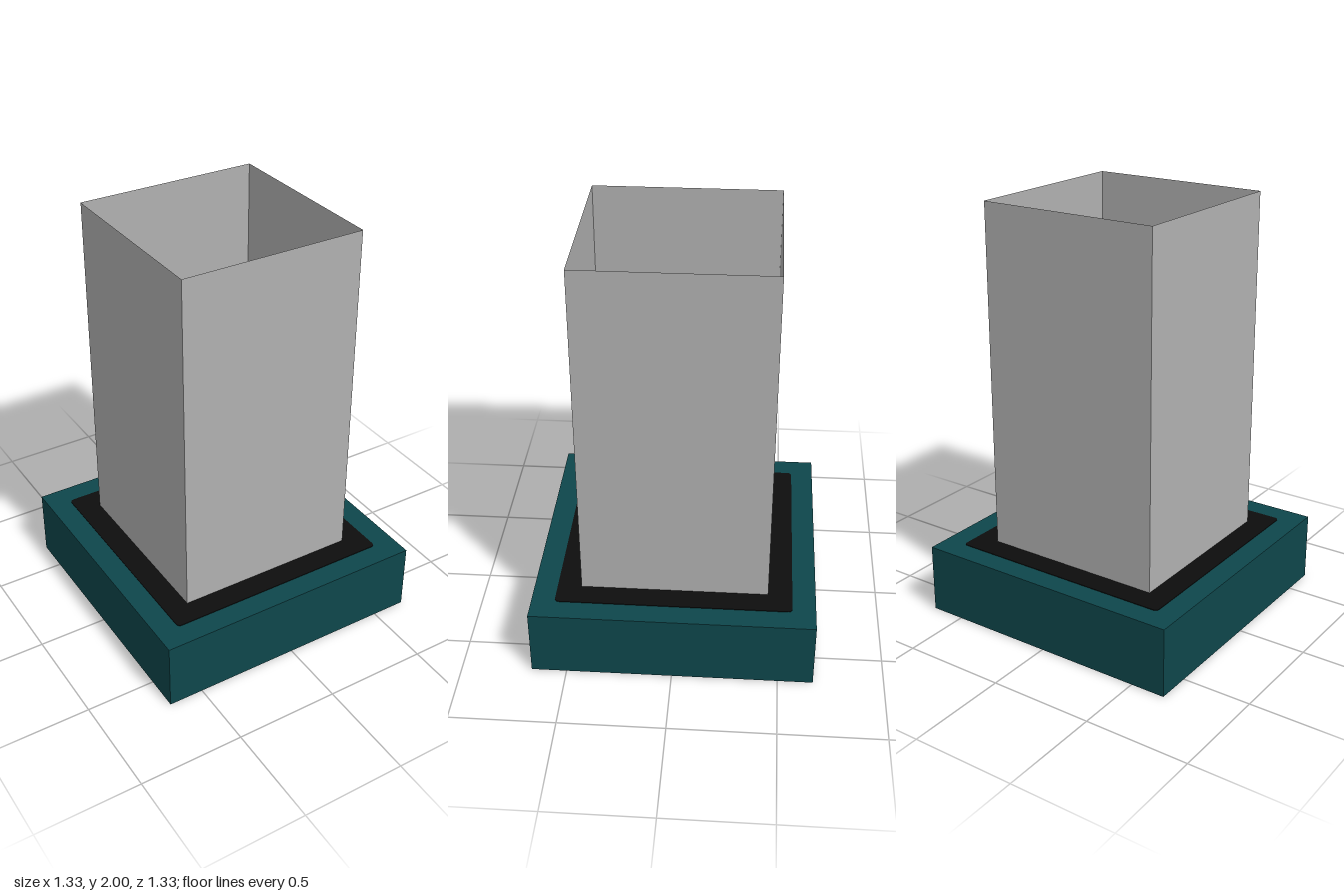
import * as THREE from 'three';

const BASE = 1.334, BASE_H = 0.333, PAD = 1.114, TUBE = 0.886, TOP = 2;

function mat(name, color) {
  const m = new THREE.MeshStandardMaterial({ color });
  m.name = name;
  return m;
}

// square outline with small rounded corners
function roundedSquare(size, r) {
  const h = size / 2, s = new THREE.Shape();
  [[1, 1], [-1, 1], [-1, -1], [1, -1]].forEach(([x, y], i) => {
    s.absarc(x * (h - r), y * (h - r), r, i * Math.PI / 2, (i + 1) * Math.PI / 2, false);
  });
  return s;
}

export function createModel() {
  const group = new THREE.Group();
  group.name = 'squareTubeOnBase';
  const teal = mat('teal', 0x0e464b);
  const black = mat('black', 0x0d0d0d);
  const underside = mat('dark grey', 0x444444);
  const grey = mat('light grey', 0xb0b0b0);
  grey.side = THREE.DoubleSide;

  const add = (name, geometry, material, y) => {
    const mesh = new THREE.Mesh(geometry, material);
    mesh.name = name;
    mesh.position.y = y;
    group.add(mesh);
  };

  // base block with a dark underside
  add('base', new THREE.BoxGeometry(BASE, BASE_H, BASE),
    [teal, teal, teal, underside, teal, teal], BASE_H / 2);

  // thin pad on top of the base
  const pad = new THREE.ExtrudeGeometry(roundedSquare(PAD, 0.02),
    { depth: 0.003, bevelEnabled: false, curveSegments: 4 });
  pad.rotateX(-Math.PI / 2);
  add('pad', pad, black, BASE_H);

  // open square tube: four single-sheet walls
  const height = TOP - BASE_H;
  for (let i = 0; i < 4; i++) {
    const wall = new THREE.PlaneGeometry(TUBE, height);
    wall.translate(0, 0, TUBE / 2).rotateY(i * Math.PI / 2);
    add('tubeWall' + (i + 1), wall, grey, BASE_H + height / 2);
  }
  return group;
}
